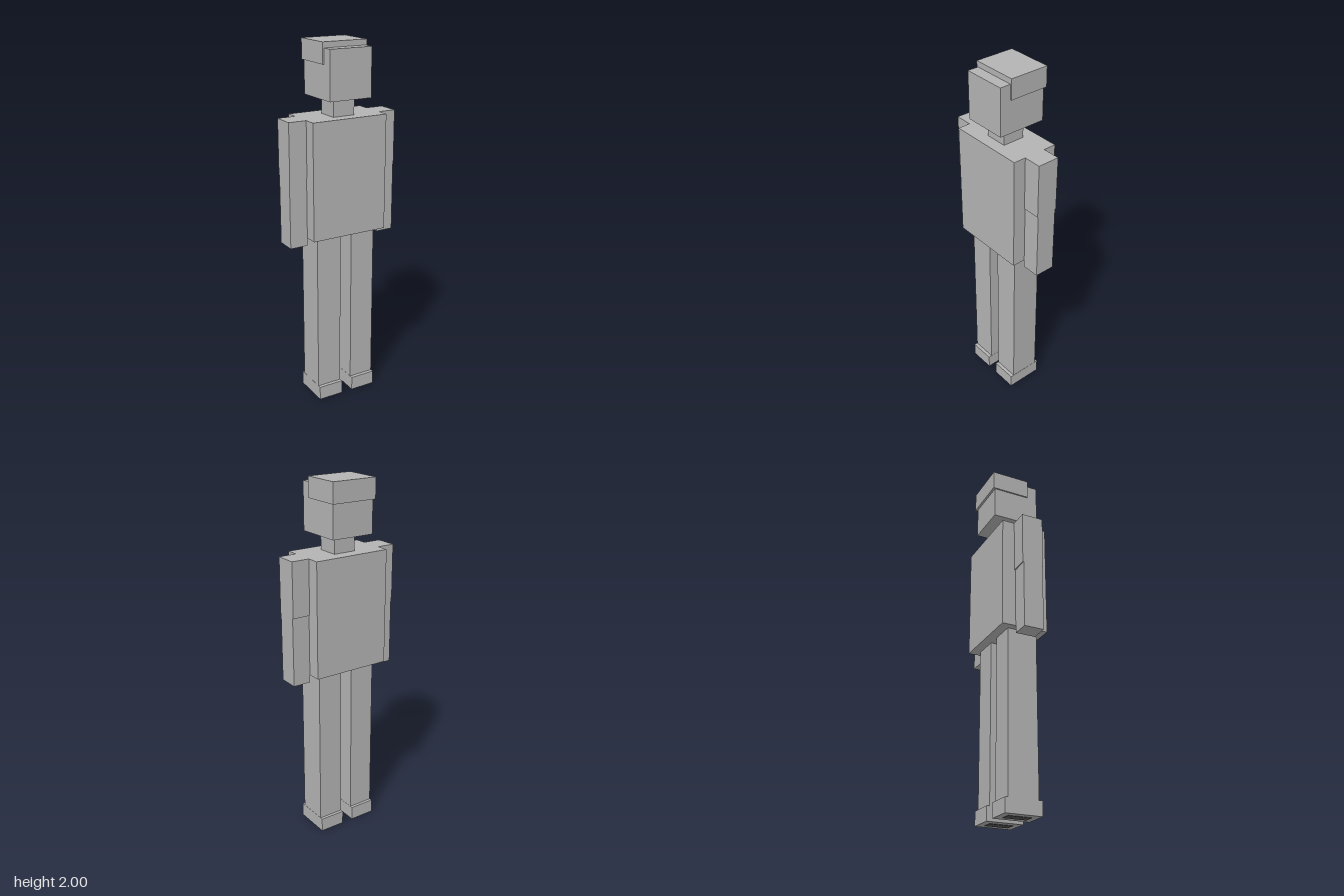
import * as THREE from 'three';

export function createModel() {
  const model = new THREE.Group();
  model.name = 'blockFigure';

  const grey = new THREE.MeshStandardMaterial({ color: 0xb3b3b3 });
  grey.name = 'grey';
  const darkGrey = new THREE.MeshStandardMaterial({ color: 0x555555 });
  darkGrey.name = 'darkGrey';

  // Box given by its limits on each axis
  function block(name, [x0, x1], [y0, y1], [z0, z1], material = grey) {
    const mesh = new THREE.Mesh(new THREE.BoxGeometry(x1 - x0, y1 - y0, z1 - z0), material);
    mesh.position.set((x0 + x1) / 2, (y0 + y1) / 2, (z0 + z1) / 2);
    mesh.name = name;
    model.add(mesh);
  }

  // Head, hair, neck and body
  block('hair', [-0.13, 0.13], [1.89, 2], [-0.142, 0.079]);
  block('head', [-0.122, 0.122], [1.71, 1.97], [-0.13, 0.14]);
  block('neck', [-0.063, 0.063], [1.6, 1.72], [-0.055, 0.07]);
  block('torso', [-0.22, 0.22], [0.98, 1.615], [-0.127, 0.137]);

  // Limbs, mirrored left and right
  for (const [side, s] of [['left', 1], ['right', -1]]) {
    const span = (a, b) => (s > 0 ? [a, b] : [-b, -a]);
    block(side + 'UpperArm', span(0.22, 0.32), [1.315, 1.615], [-0.056, 0.067]);
    block(side + 'Forearm', span(0.22, 0.32), [0.937, 1.315], [-0.05, 0.063]);
    block(side + 'Leg', span(0.034, 0.177), [0.07, 0.99], [-0.075, 0.094]);
    block(side + 'Shoe', span(0.033, 0.178), [0.002, 0.08], [-0.092, 0.114]);
    // Thin dark patch under the shoe
    block(side + 'SolePatch', span(0.075, 0.136), [0, 0.004], [-0.055, 0.075], darkGrey);
  }
  return model;
}
